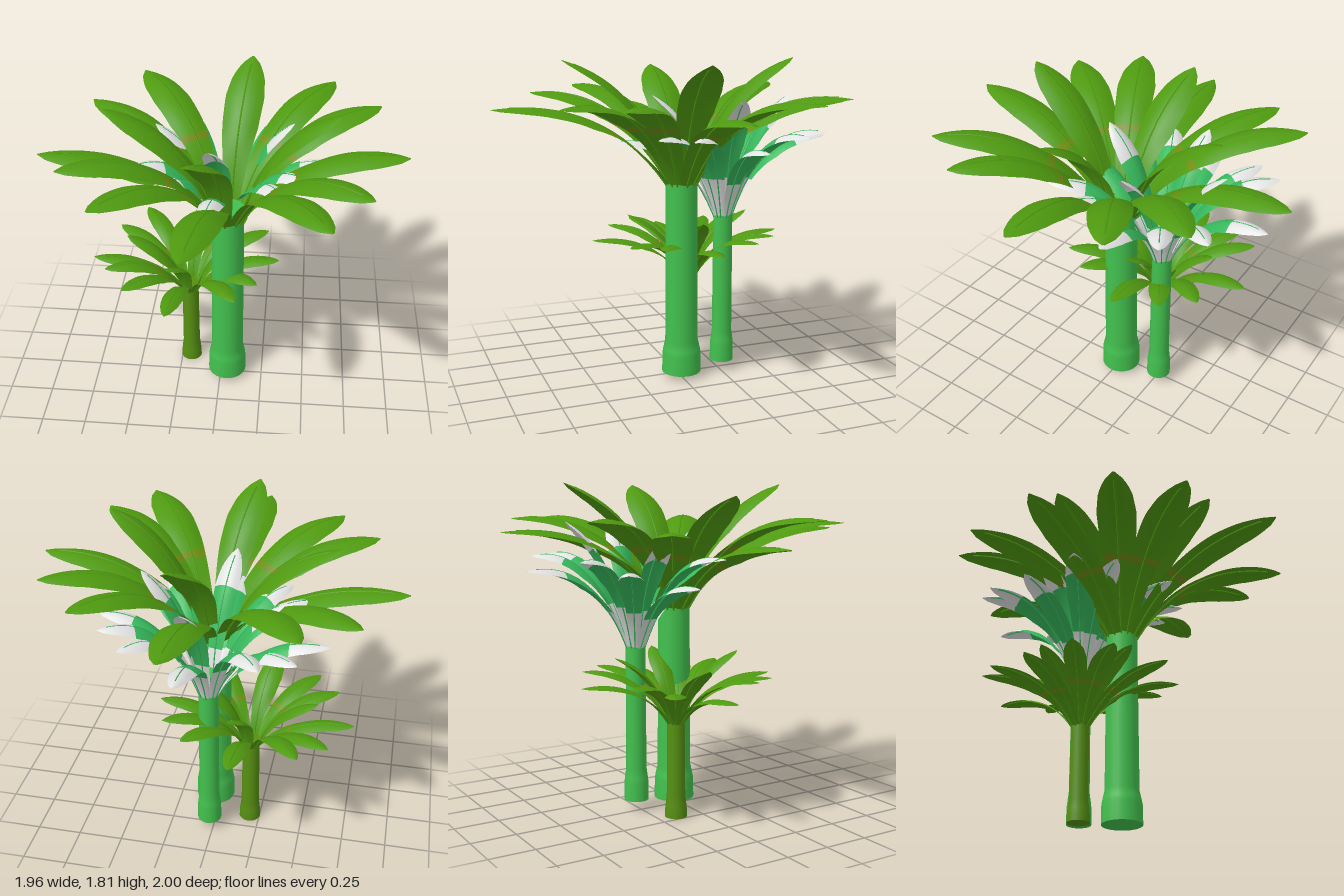
import * as THREE from 'three';

const mat = (name, color, side = THREE.FrontSide) => {
  const m = new THREE.MeshStandardMaterial({ color, side });
  m.name = name;
  return m;
};

// Outer fronds: tip x, tip z, tip height
const OUTER = [
  [0.98, 0, 1.56], [0.85, -0.45, 1.62], [0.60, -0.74, 1.62], [0.10, -1.0, 1.56],
  [-0.51, -0.80, 1.62], [-0.77, -0.52, 1.56], [-0.98, 0, 1.49], [-0.79, 0.38, 1.62],
  [-0.57, 0.69, 1.60], [-0.10, 1.0, 1.56], [0.57, 0.80, 1.62], [0.77, 0.52, 1.62],
];
// Inner, more upright fronds
const INNER = [[0.61, 0.05, 1.81], [0.13, -0.63, 1.81], [-0.62, -0.06, 1.74], [-0.09, 0.62, 1.81]];

const ROOT_Y = 1.1, ROWS = 24, COLS = 6;
const WIDTHS = [[0, 0.035], [0.25, 0.065], [0.5, 0.1], [0.7, 0.108], [0.85, 0.09], [0.95, 0.052], [1, 0.006]];

function halfWidth(s) {
  for (let k = 1; k < WIDTHS.length; k++) {
    const [s0, w0] = WIDTHS[k - 1], [s1, w1] = WIDTHS[k];
    if (s <= s1) return w0 + (w1 - w0) * (s - s0) / (s1 - s0);
  }
  return 0;
}

// Arching centre line from the trunk to the tip
function frondCurve([x, z, y], inner) {
  const dir = new THREE.Vector3(x - 0.04, 0, z + 0.01).normalize();
  const root = new THREE.Vector3(0.04, ROOT_Y, -0.01).addScaledVector(dir, 0.07);
  const tip = new THREE.Vector3(x, y, z);
  const [t, h] = inner ? [0.2, 0.8] : [0.35, 1.15];
  const mid = root.clone().lerp(tip, t);
  mid.y = ROOT_Y + (y - ROOT_Y) * h;
  return { dir, curve: new THREE.QuadraticBezierCurve3(root, mid, tip) };
}

// Curved blade; slotOf(s) picks the material for each row
function bladeGeometry({ dir, curve }, slotOf) {
  const side = new THREE.Vector3(dir.z, 0, -dir.x);
  const pos = [], idx = [], geo = new THREE.BufferGeometry();
  for (let i = 0; i <= ROWS; i++) {
    const s = i / ROWS, c = curve.getPoint(s), w = halfWidth(s);
    const normal = curve.getTangent(s).cross(side).normalize();
    const bend = THREE.MathUtils.lerp(0.03, -0.03, Math.min(1, s * 2)) * w / 0.1;
    for (let j = 0; j <= COLS; j++) {
      const u = j / COLS * 2 - 1;
      const p = c.clone().addScaledVector(side, u * w).addScaledVector(normal, bend * u * u);
      pos.push(p.x, p.y, p.z);
    }
  }
  for (let i = 0; i < ROWS; i++) {
    geo.addGroup(idx.length, COLS * 6, slotOf((i + 0.5) / ROWS));
    for (let j = 0; j < COLS; j++) {
      const a = i * (COLS + 1) + j, b = a + COLS + 1;
      idx.push(a, b, a + 1, b, b + 1, a + 1);
    }
  }
  geo.setAttribute('position', new THREE.Float32BufferAttribute(pos, 3));
  geo.setIndex(idx);
  geo.computeVertexNormals();
  return geo;
}

function crown(name, materials, ribMaterial, slotFor) {
  const group = new THREE.Group();
  group.name = name;
  const add = (tip, inner) => {
    const frond = frondCurve(tip, inner);
    const blade = new THREE.Mesh(bladeGeometry(frond, slotFor(inner)), materials);
    blade.name = inner ? 'innerFrond' : 'outerFrond';
    // Raised midrib along the underside
    const ribPath = new THREE.QuadraticBezierCurve3(...['v0', 'v1', 'v2'].map((k) => frond.curve[k].clone()));
    ribPath.v2.copy(frond.curve.getPoint(0.93));
    ribPath.v1.lerp(frond.curve.v0, 0.07);
    const rib = new THREE.Mesh(new THREE.TubeGeometry(ribPath, 16, 0.006, 5), ribMaterial);
    rib.position.y = -0.003;
    rib.name = 'midrib';
    group.add(blade, rib);
  };
  OUTER.forEach((t) => add(t, false));
  INNER.forEach((t) => add(t, true));
  return group;
}

// Straight stem with a swollen foot
function trunk(name, material, x, z, r, y0, y1, footTop) {
  const pts = [[0, y0], [r * 1.22, y0], [r * 1.2, footTop - 0.05], [r * 1.14, footTop - 0.02],
    [r * 1.02, footTop + 0.03], [r * 0.96, y1], [0, y1]];
  // Doubled corners keep the end caps crisp
  const profile = [pts[0], pts[1], pts[1], ...pts.slice(2, 6), pts[5], pts[6]];
  const mesh = new THREE.Mesh(
    new THREE.LatheGeometry(profile.map(([a, b]) => new THREE.Vector2(a, b)), 24), material);
  mesh.position.set(x, 0, z);
  mesh.name = name;
  return mesh;
}

export function createModel() {
  const leaf = mat('leafGreen', 0x4f9a10, THREE.DoubleSide);
  const band = mat('oliveBand', 0x708c12, THREE.DoubleSide);
  const pale = mat('paleLeaf', 0xe2e2e2, THREE.DoubleSide);
  const jade = mat('jadeLeaf', 0x36b85c, THREE.DoubleSide);
  const stem = mat('trunkGreen', 0x42c04e);
  const oliveStem = mat('oliveTrunk', 0x568f12);

  const model = new THREE.Group();
  model.name = 'palmCluster';

  const bandSlot = (inner) => (s) => (!inner && s > 0.37 && s < 0.41 ? 1 : 0);
  const tipSlot = (inner) => (s) => (s < 0.25 || s > (inner ? 0.68 : 0.72) ? 1 : 0);

  // Tall palm
  model.add(trunk('tallTrunk', stem, 0.04, -0.01, 0.092, 0.03, 1.2, 0.19));
  model.add(crown('tallCrown', [leaf, band], leaf, bandSlot));

  // Slender palm with pale-tipped fronds
  model.add(trunk('slenderTrunk', stem, 0.025, -0.267, 0.056, 0.06, 1.06, 0.21));
  const slender = crown('slenderCrown', [jade, pale], jade, tipSlot);
  slender.scale.set(0.62, 1, 0.62);
  slender.position.set(0, -0.2, -0.26);
  model.add(slender);

  // Short palm
  model.add(trunk('shortTrunk', oliveStem, -0.193, -0.141, 0.05, 0, 0.57, 0.09));
  const short = crown('shortCrown', [leaf, band], leaf, bandSlot);
  short.scale.setScalar(0.555);
  short.position.set(-0.215, -0.1, -0.135);
  model.add(short);

  return model;
}
